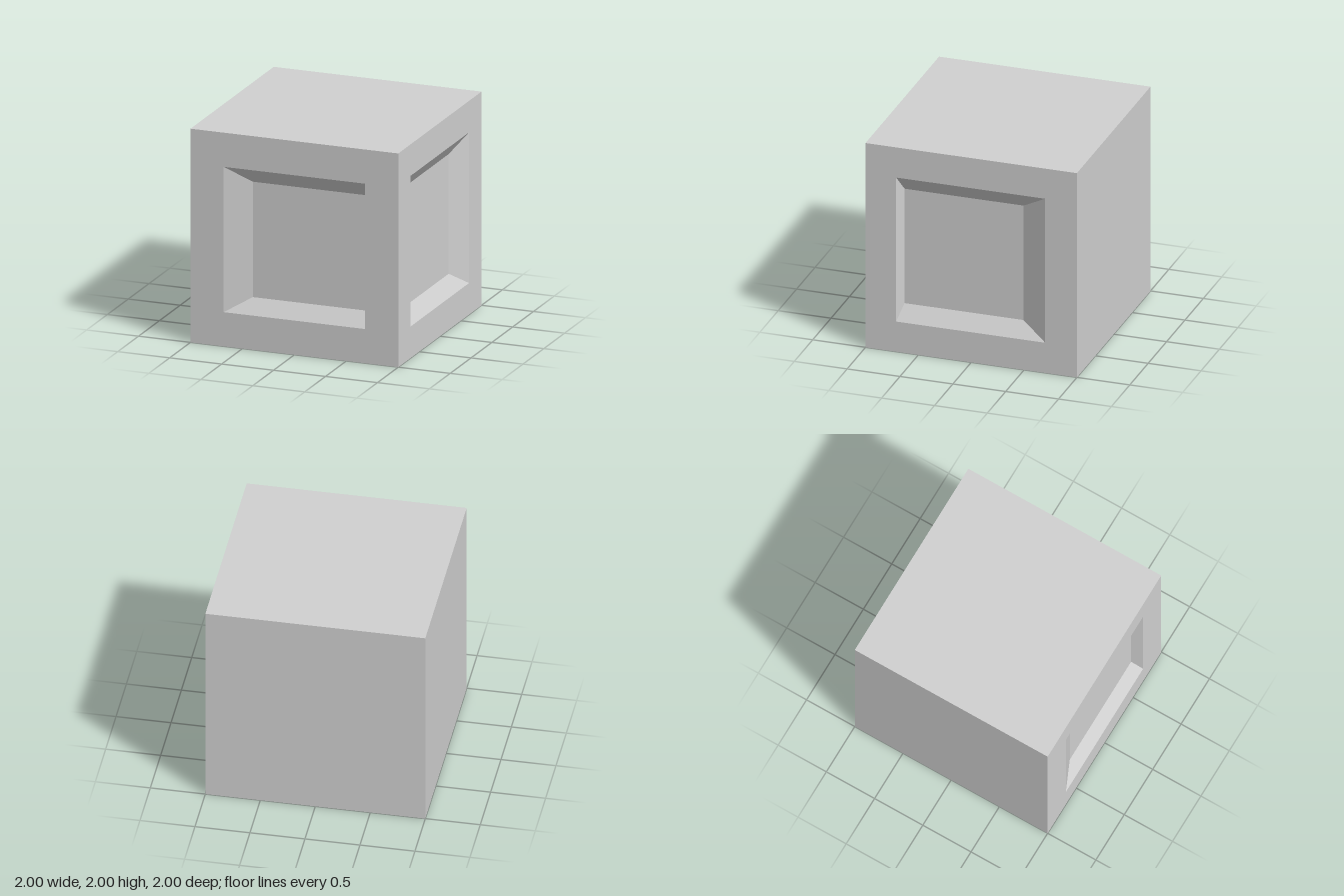
import * as THREE from 'three';

// Rectangle as four counter-clockwise corners at depth z
const rect = (x0, x1, y0, y1, z) => [[x0, y0, z], [x1, y0, z], [x1, y1, z], [x0, y1, z]];

// Face built from nested rectangles: bands between neighbours, then a floor
function nestedFace(loops) {
  const pos = [];
  const quad = (a, b, c, d) => pos.push(...a, ...b, ...c, ...a, ...c, ...d);
  for (let i = 0; i + 1 < loops.length; i++) {
    const outer = loops[i], inner = loops[i + 1];
    for (let k = 0; k < 4; k++) {
      const n = (k + 1) % 4;
      quad(outer[k], outer[n], inner[n], inner[k]);
    }
  }
  quad(...loops[loops.length - 1]);
  const geo = new THREE.BufferGeometry();
  geo.setAttribute('position', new THREE.Float32BufferAttribute(pos, 3));
  geo.computeVertexNormals();
  return geo;
}

export function createModel() {
  const group = new THREE.Group();
  group.name = 'recessedCube';
  const grey = new THREE.MeshStandardMaterial({ color: 0xd0d0d0 });
  grey.name = 'light grey';

  const edge = rect(-1, 1, -1, 1, 1);
  const frontLoops = [edge, rect(-0.68, 0.68, -0.68, 0.68, 1), rect(-0.44, 0.64, -0.54, 0.54, 0.9)];
  const sideLoops = [edge, rect(-0.71, 0.70, -0.705, 0.705, 1), rect(-0.665, 0.46, -0.56, 0.56, 0.9)];

  // Six faces, each turned from the front: [name, loops, turn about x, turn about y]
  const q = Math.PI / 2;
  const faces = [
    ['frontRecessedFace', frontLoops, 0, 0],
    ['sideRecessedFace', sideLoops, 0, q],
    ['backFace', [edge], 0, 2 * q],
    ['otherSideFace', [edge], 0, -q],
    ['topFace', [edge], -q, 0],
    ['bottomFace', [edge], q, 0],
  ];
  for (const [name, loops, rx, ry] of faces) {
    const mesh = new THREE.Mesh(nestedFace(loops), grey);
    mesh.name = name;
    mesh.rotation.set(rx, ry, 0);
    mesh.position.y = 1;
    group.add(mesh);
  }
  return group;
}
